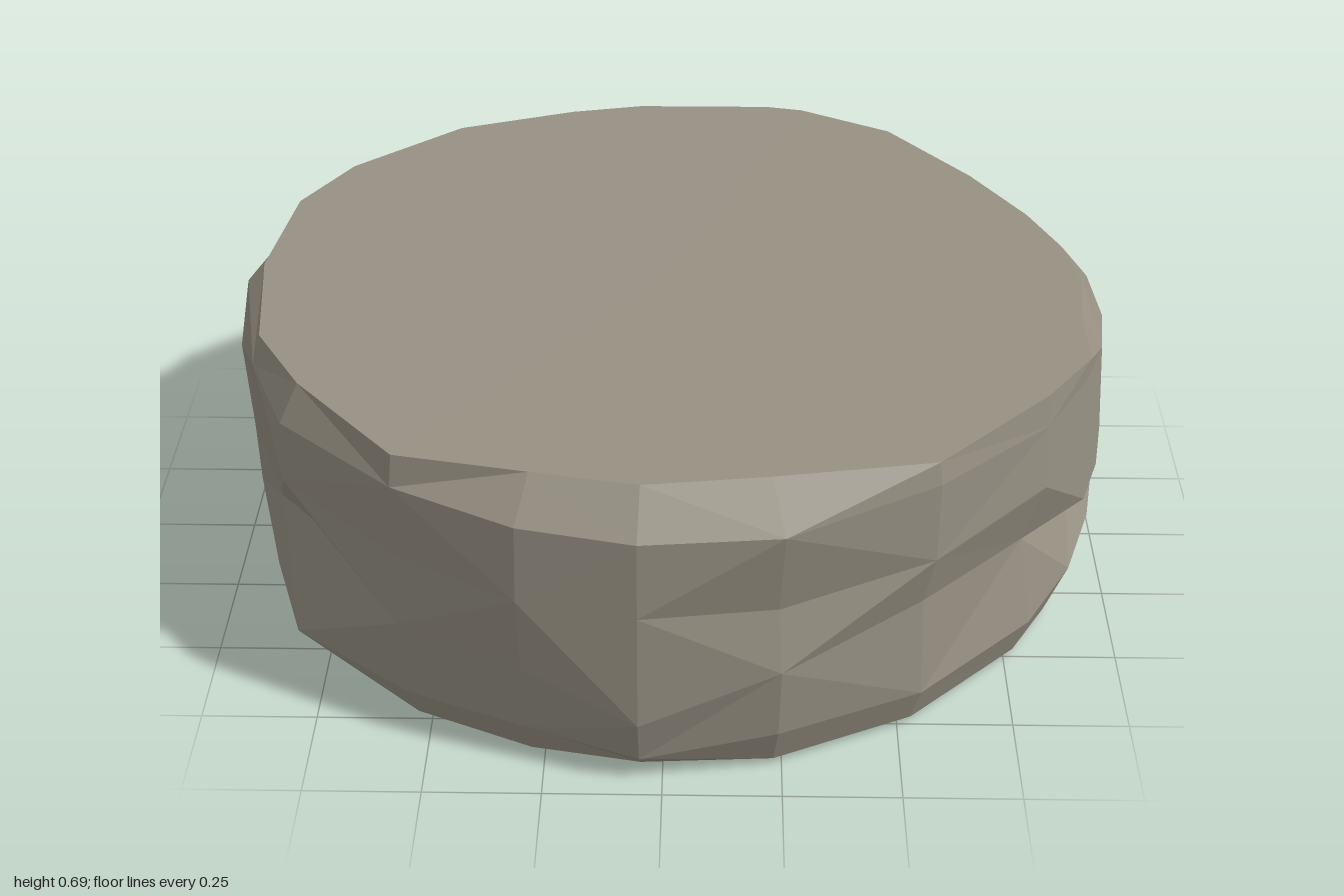
import * as THREE from 'three';

// Rim seen from above, [x, z], from the front round by the +x side
const outline = [
  [-0.05, 0.98], [0.25, 0.96], [0.57, 0.8], [0.83, 0.53], [0.92, 0.36], [0.97, 0.18],
  [1, 0], [0.98, -0.18], [0.92, -0.36], [0.79, -0.59], [0.56, -0.83], [0.33, -0.95],
  [0.24, -0.98], [-0.1, -0.99], [-0.28, -0.94], [-0.57, -0.83], [-0.81, -0.58],
  [-0.92, -0.38], [-1, -0.05], [-0.93, 0.3], [-0.84, 0.53], [-0.57, 0.8], [-0.3, 0.93],
];

// How far the flat top is set in from the rim, per column
const topInset = [
  0.1, 0.12, 0.02, 0.03, 0.01, 0.06, 0.07, 0.08, 0.09, 0.09, 0.05, 0.04,
  0.05, 0.06, 0.05, 0.05, 0.03, 0.03, 0.07, 0.04, 0.07, 0.03, 0.1,
];

// Height and inset of each level, bottom to top
const levels = [[0.015, 0.07], [0.08, 0.02], [0.25, 0.01], [0.43, 0.005], [0.62, 0.01], [0.685, 0]];

// Chips and ledges: [column, level, inset, height]
const chips = [
  // undercut on the +x side
  [3, 3, 0.02, 0.46], [3, 2, 0.07, 0.31],
  [4, 3, 0.0, 0.33], [4, 2, 0.08, 0.28], [4, 1, 0.02, 0.14],
  [5, 3, 0.0, 0.31], [5, 2, 0.07, 0.27], [5, 1, 0.01, 0.17],
  [6, 3, 0.0, 0.3], [6, 2, 0.06, 0.27], [6, 1, 0.01, 0.18],
  [7, 3, 0.0, 0.36], [7, 2, 0.02, 0.27],
  // front facets
  [0, 4, 0.01, 0.6], [0, 2, 0.0, 0.16], [1, 3, 0.05, 0.41], [1, 2, 0.02, 0.27], [2, 2, 0.05, 0.33],
  // chip on the -x front corner
  [20, 3, 0.02, 0.46], [20, 2, 0.08, 0.34], [19, 3, 0.05, 0.4], [19, 2, 0.06, 0.27], [18, 3, 0, 0.47],
  // grooves on the back
  [11, 3, 0.05, 0.42], [11, 2, 0.06, 0.26], [12, 4, 0, 0.57], [14, 3, 0.05, 0.4], [14, 2, 0.04, 0.22],
];

function makeRandom(seed) {
  return () => {
    seed = (seed * 16807) % 2147483647;
    return seed / 2147483647;
  };
}

function slabGeometry() {
  const random = makeRandom(41);
  const n = outline.length;
  const rows = levels.length;
  const positions = [];
  const index = [];

  // Rings of the side wall, roughened a little at the middle levels
  levels.forEach(([baseY, baseInset], row) => {
    outline.forEach(([x, z], col) => {
      const rough = row > 0 && row < rows - 1;
      let y = baseY + (rough ? (random() - 0.5) * 0.05 : 0);
      let inset = baseInset + (rough ? random() * 0.02 : 0);
      if (row === rows - 1) inset = topInset[col];
      const chip = chips.find((c) => c[0] === col && c[1] === row);
      if (chip) [, , inset, y] = chip;
      const scale = 1 - inset / Math.hypot(x, z);
      positions.push(x * scale, y, z * scale);
    });
  });
  for (let row = 0; row < rows - 1; row++) {
    for (let col = 0; col < n; col++) {
      const a = row * n + col;
      const b = row * n + ((col + 1) % n);
      // alternate the diagonals for irregular facets
      if ((row + col) % 2) index.push(a, b, b + n, a, b + n, a + n);
      else index.push(a, b, a + n, b, b + n, a + n);
    }
  }

  // Flat bottom and top
  const bottom = n * rows;
  const top = bottom + 1;
  positions.push(0, 0, 0, 0, 0.69, 0);
  for (let col = 0; col < n; col++) {
    const next = (col + 1) % n;
    index.push(bottom, next, col);
    index.push(top, (rows - 1) * n + col, (rows - 1) * n + next);
  }

  const indexed = new THREE.BufferGeometry();
  indexed.setAttribute('position', new THREE.Float32BufferAttribute(positions, 3));
  indexed.setIndex(index);
  const geometry = indexed.toNonIndexed();
  geometry.computeVertexNormals();
  return geometry;
}

export function createModel() {
  const model = new THREE.Group();
  model.name = 'roundStone';
  const stone = new THREE.MeshStandardMaterial({ color: 0x979183 });
  stone.name = 'warm grey stone';
  stone.flatShading = true;
  const slab = new THREE.Mesh(slabGeometry(), stone);
  slab.name = 'stoneSlab';
  model.add(slab);
  return model;
}
